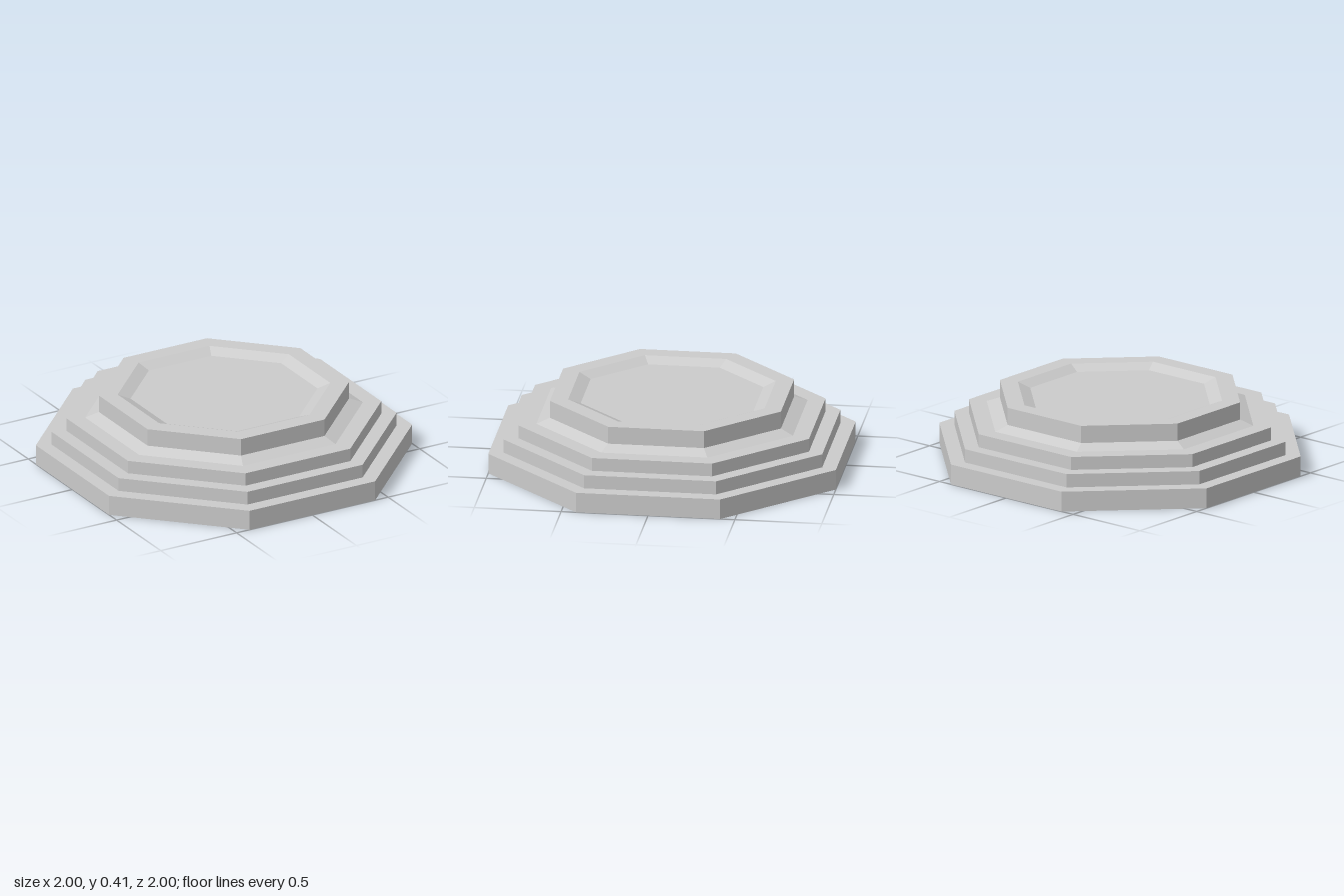
import * as THREE from 'three';

const SIDES = 8;
const CORNER = 1 / Math.cos(Math.PI / SIDES); // flat-to-centre distance -> corner radius

const material = new THREE.MeshStandardMaterial({
  color: 0xcccccc,
  flatShading: true,
  side: THREE.DoubleSide,
});

// Octagonal band swept from [distance to flat side, height] pairs
function octagonBand(name, profile) {
  const points = profile.map(([r, y]) => new THREE.Vector2(r * CORNER, y));
  const lathe = new THREE.LatheGeometry(points, SIDES, Math.PI / SIDES);
  const geometry = lathe.toNonIndexed();
  geometry.computeVertexNormals();
  const mesh = new THREE.Mesh(geometry, material);
  mesh.name = name;
  return mesh;
}

export function createModel() {
  const group = new THREE.Group();
  group.name = 'octagonalSteppedPlatform';

  // Hollow shell, open underneath: each step is a riser plus its tread
  group.add(
    octagonBand('bottomStep', [[1, 0], [1, 0.118], [0.917, 0.118]]),
    octagonBand('middleStep', [[0.917, 0.118], [0.917, 0.197], [0.836, 0.197]]),
    octagonBand('upperStep', [[0.836, 0.197], [0.836, 0.274], [0.738, 0.274]]),
    octagonBand('slopedSkirt', [[0.738, 0.274], [0.665, 0.304]]),
    octagonBand('topRim', [[0.665, 0.304], [0.665, 0.406], [0.565, 0.406]]),
    octagonBand('recessBevel', [[0.565, 0.406], [0.497, 0.376]]),
  );

  // Sunken floor
  const floor = new THREE.Mesh(
    new THREE.CircleGeometry(0.497 * CORNER, SIDES, Math.PI / SIDES),
    material,
  );
  floor.name = 'recessedFloor';
  floor.rotation.x = -Math.PI / 2;
  floor.position.y = 0.376;
  group.add(floor);

  return group;
}
